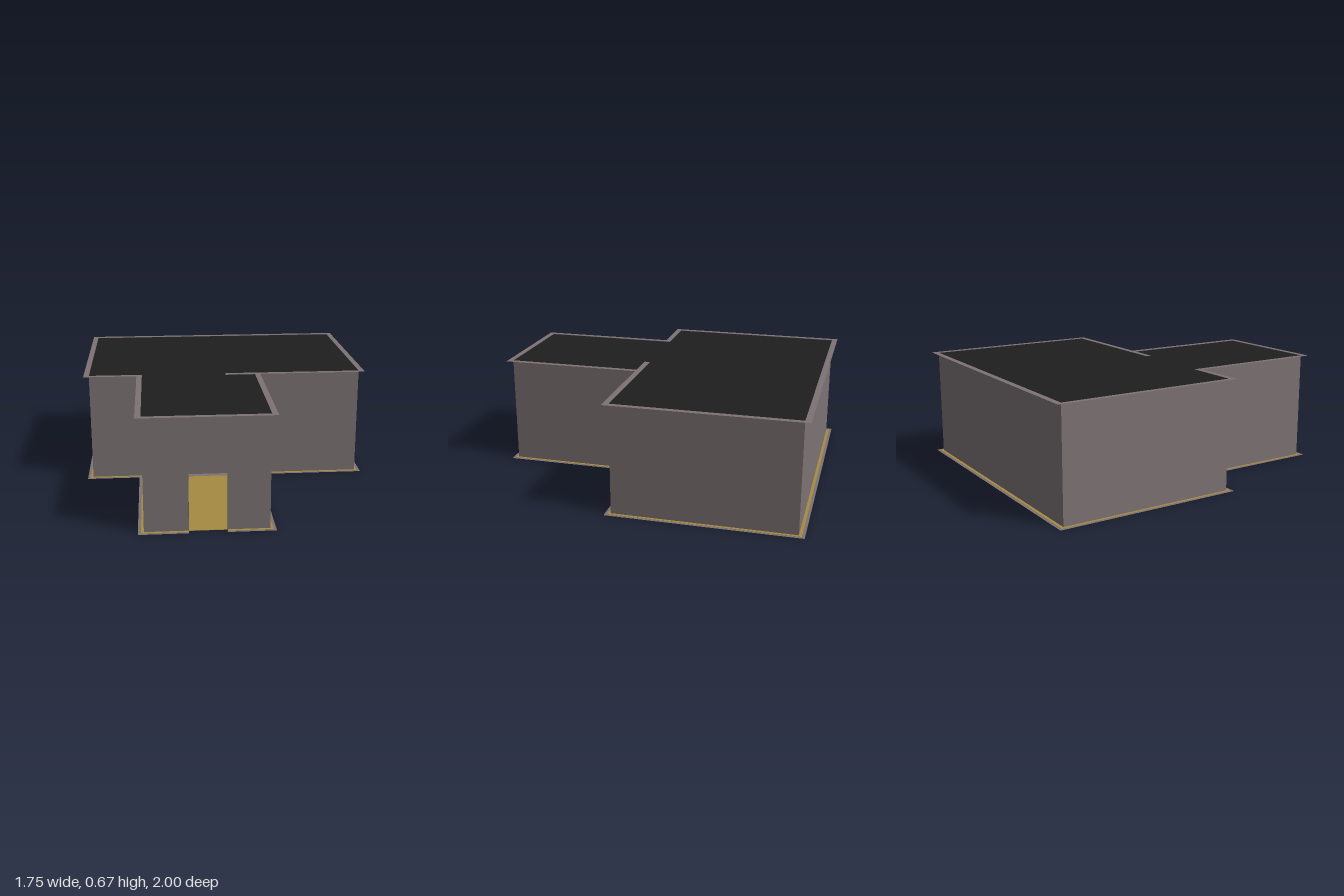
import * as THREE from 'three';

const H = 0.667;                               // wall height
const DOOR = { x0: -0.27, x1: -0.058, h: 0.335 };
const FRONT = 1, FACE = 0.967;                 // outer and inner line of the front wall

// Plans as [x, z] corners
const OUTER = [[-0.55, FRONT], [-0.55, 0.145], [-0.875, 0.145], [-0.875, -1],
  [0.875, -1], [0.875, 0.145], [0.215, 0.145], [0.215, FRONT]];
const INNER = [[-0.517, FACE], [-0.517, 0.112], [-0.842, 0.112], [-0.842, -0.965],
  [0.842, -0.965], [0.842, 0.112], [0, 0.112], [0, 0.145], [0.182, 0.145], [0.182, FACE]];
const MIDDLE = [[-0.533, 0.983], [-0.533, 0.129], [-0.858, 0.129], [-0.858, -0.983],
  [0.858, -0.983], [0.858, 0.129], [0.198, 0.129], [0.198, 0.983]];
const DOOR_NOTCH = [[DOOR.x1, 0.983], [DOOR.x1, FACE], [DOOR.x0, FACE], [DOOR.x0, 0.983]];

const material = (color) => new THREE.MeshStandardMaterial({ color, side: THREE.DoubleSide });
const toPoints = (plan) => plan.map(([x, z]) => new THREE.Vector2(x, -z));

export function createModel() {
  const group = new THREE.Group();
  const wallMat = material(0x7d7274);
  const floorMat = material(0xa58a42);
  const roofMat = material(0x1e1e1f);

  const add = (name, geometry, mat) => {
    const mesh = new THREE.Mesh(geometry, mat);
    mesh.name = name;
    group.add(mesh);
    return mesh;
  };

  // Lay a plan shape flat at height y
  const flat = (name, shape, y, mat) =>
    add(name, new THREE.ShapeGeometry(shape).rotateX(-Math.PI / 2).translate(0, y, 0), mat);

  // Upright sheet from plan corner a to b, with an optional doorway
  const sheet = (name, a, b, height, door) => {
    const dx = b[0] - a[0], dz = b[1] - a[1], length = Math.hypot(dx, dz);
    const corners = [[0, 0]];
    if (door) corners.push([door[0], 0], [door[0], DOOR.h], [door[1], DOOR.h], [door[1], 0]);
    corners.push([length, 0], [length, height], [0, height]);
    const shape = new THREE.Shape(corners.map(([x, y]) => new THREE.Vector2(x, y)));
    const mesh = add(name, new THREE.ShapeGeometry(shape), wallMat);
    mesh.position.set(a[0], 0, a[1]);
    mesh.rotation.y = Math.atan2(-dz, dx);
  };

  // Walls along the room outline, including the short partition
  for (let i = 0; i < INNER.length - 1; i++) sheet('wall', INNER[i], INNER[i + 1], H);
  const left = INNER[0];
  sheet('frontWall', left, INNER[INNER.length - 1], H, [DOOR.x0 - left[0], DOOR.x1 - left[0]]);

  // Door reveal
  for (const x of [DOOR.x0, DOOR.x1]) sheet('doorJamb', [x, FACE], [x, FRONT], DOOR.h);
  const lintel = new THREE.PlaneGeometry(DOOR.x1 - DOOR.x0, FRONT - FACE).rotateX(Math.PI / 2);
  add('doorLintel', lintel, wallMat)
    .position.set((DOOR.x0 + DOOR.x1) / 2, DOOR.h, (FRONT + FACE) / 2);

  // Wall top rim, tracing the wall thickness
  const rim = new THREE.Shape(toPoints(OUTER));
  rim.holes.push(new THREE.Path(toPoints(INNER)));
  flat('wallTop', rim, H, wallMat);

  // Wall base rim, broken at the doorway
  const base = [[DOOR.x0, FRONT], ...OUTER, [DOOR.x1, FRONT], [DOOR.x1, FACE],
    ...[...INNER].reverse(), [DOOR.x0, FACE]];
  flat('wallBase', new THREE.Shape(toPoints(base)), 0.001, wallMat);

  // Roof just under the rim
  flat('roof', new THREE.Shape(toPoints(MIDDLE)), H - 0.002, roofMat);

  // Thin floor slab with the doorway notch
  const floor = new THREE.Shape(toPoints([...MIDDLE, ...DOOR_NOTCH]));
  const slab = new THREE.ExtrudeGeometry(floor, { depth: 0.002, bevelEnabled: false });
  add('floor', slab.rotateX(-Math.PI / 2), floorMat);

  return group;
}
